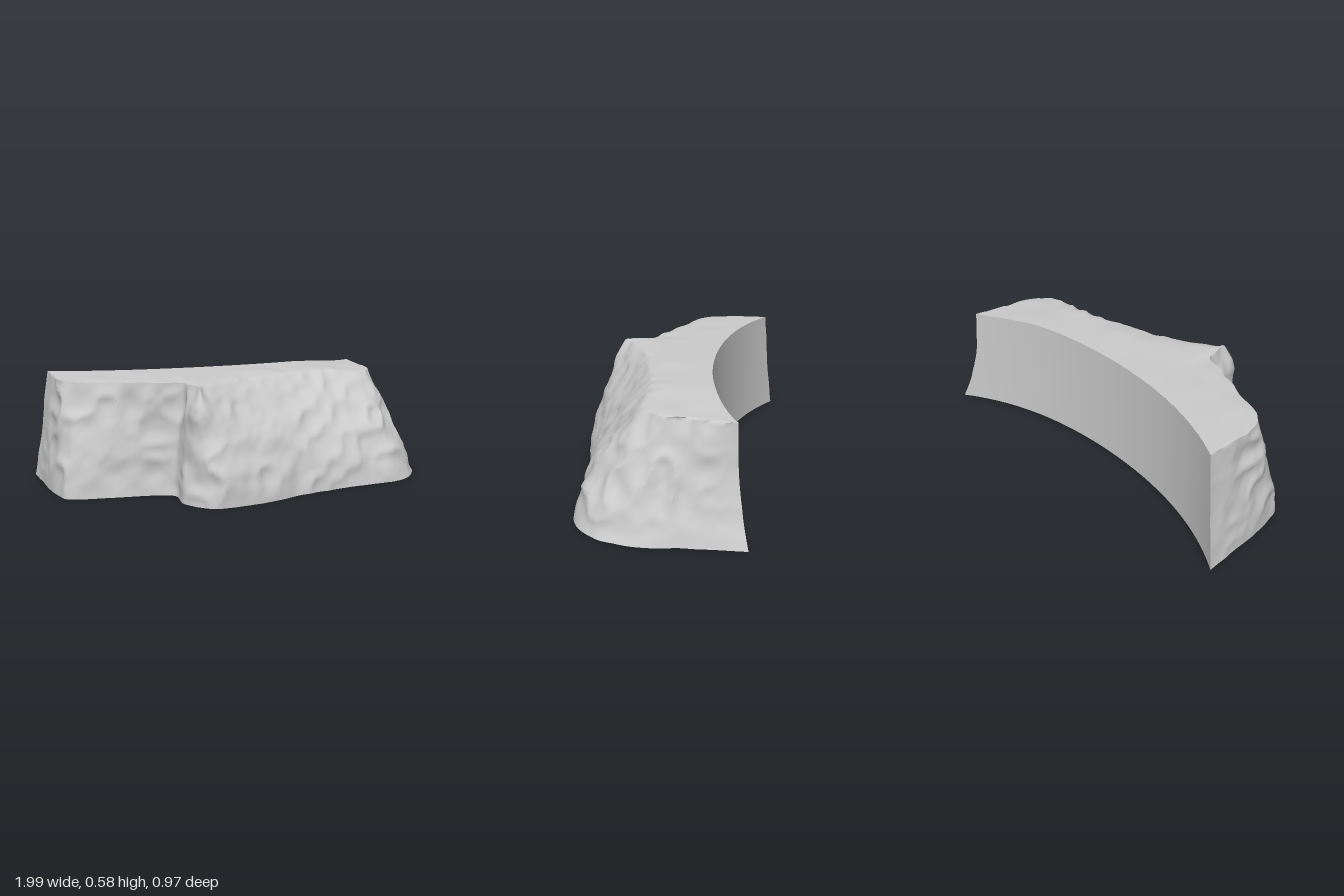
import * as THREE from 'three';
import { toCreasedNormals } from 'three/addons/utils/BufferGeometryUtils.js';

// Outline of the rock from the right back corner round the front to the left one.
// Each row: x, z at the foot, x, z at mid height, x, z at the rim.
const OUTLINE = [
  [-1, -0.46, -0.955, -0.43, -0.92, -0.41],
  [-0.975, -0.2, -0.945, -0.2, -0.9, -0.2],
  [-0.95, 0, -0.925, -0.02, -0.89, -0.08],
  [-0.91, 0.08, -0.87, 0.05, -0.82, -0.02],
  [-0.7, 0.13, -0.68, 0.1, -0.64, 0.05],
  [-0.47, 0.17, -0.46, 0.155, -0.44, 0.15],
  [-0.405, 0.21, -0.38, 0.19, -0.35, 0.18],
  [-0.405, 0.33, -0.375, 0.3, -0.335, 0.24],
  [-0.35, 0.43, -0.335, 0.4, -0.31, 0.33],
  [-0.26, 0.48, -0.25, 0.435, -0.25, 0.26],
  [-0.02, 0.462, -0.03, 0.38, -0.06, 0.16],
  [0.2, 0.405, 0.18, 0.32, 0.15, 0.09],
  [0.4, 0.37, 0.37, 0.275, 0.32, 0.05],
  [0.62, 0.35, 0.57, 0.255, 0.53, 0.025],
  [0.8, 0.33, 0.74, 0.235, 0.71, 0.01],
  [0.9, 0.26, 0.83, 0.16, 0.79, -0.03],
  [0.965, 0.16, 0.88, 0.05, 0.81, -0.09],
  [0.995, 0, 0.9, -0.08, 0.82, -0.18],
  [0.97, -0.2, 0.895, -0.22, 0.825, -0.27],
  [0.95, -0.49, 0.868, -0.42, 0.84, -0.405],
];

const rings = [0, 2, 4].map((k) => new THREE.CatmullRomCurve3(
  OUTLINE.map((r) => new THREE.Vector3(r[k], 0, r[k + 1])), false, 'centripetal'));

// Rim height, dropping a little towards the left end
const rim = (x) => 0.56 - 0.022 * THREE.MathUtils.smoothstep(x, 0.4, 0.82);

// Smooth concave curve of the back
const backZ = (x) => {
  const d = x + 0.05;
  return -0.215 - 0.195 * d * d - 0.075 * d ** 4;
};

// Seeded value noise, -1 to 1
const hash = (x, y, z) => {
  let h = Math.imul(x, 374761393) ^ Math.imul(y, 668265263) ^ Math.imul(z, 1274126177) ^ 9173;
  h = Math.imul(h ^ (h >>> 13), 1274126177);
  return ((h ^ (h >>> 16)) >>> 0) / 2147483648 - 1;
};
function noise(x, y, z) {
  const c = [x, y, z].map(Math.floor);
  const f = [x - c[0], y - c[1], z - c[2]].map((t) => t * t * (3 - 2 * t));
  let sum = 0;
  for (let i = 0; i < 8; i++) {
    const o = [i & 1, (i >> 1) & 1, i >> 2];
    const w = o.reduce((a, b, k) => a * (b ? f[k] : 1 - f[k]), 1);
    sum += w * hash(c[0] + o[0], c[1] + o[1], c[2] + o[2]);
  }
  return sum;
}

// Point on the unweathered wall, s running from foot to rim
function wallBase(u, s) {
  const [b, m, t] = rings.map((r) => r.getPoint(u));
  const y = s * rim(t.x);
  return b.multiplyScalar((1 - s) * (1 - 2 * s))
    .addScaledVector(m, 4 * s * (1 - s))
    .addScaledVector(t, s * (2 * s - 1)).setY(y);
}

// Wall with broad lumps and a few sharp ridges pushed outward
function wall(u, s) {
  const p = wallBase(u, s);
  const a = wallBase(Math.max(u - 0.008, 0), s);
  const b = wallBase(Math.min(u + 0.008, 1), s);
  const out = new THREE.Vector3(a.z - b.z, 0, b.x - a.x).normalize();
  const lump = noise(p.x * 6, p.y * 7, p.z * 6) * 0.012;
  const ridge = (0.25 - Math.abs(noise(p.x * 10 + 5, p.y * 9, p.z * 10))) * 0.026;
  const grain = noise(p.x * 28, p.y * 26, p.z * 28) * 0.003;
  const edge = Math.min(1, 0.3 + 10 * Math.min(u, 1 - u));
  p.addScaledVector(out, (lump + ridge + grain) * edge * Math.min(1, 0.3 + s * 4));
  p.z = u === 0 || u === 1 ? backZ(p.x) : Math.max(p.z, backZ(p.x));
  return p;
}

// Gentle crown of the top above the rim
const crown = (x) => 0.004 + 0.01 * (1 - x * x);

// Top, q running from the front rim to the back curve
function top(u, q) {
  const p = wall(u, 1);
  p.z += (backZ(p.x) - p.z) * q;
  const bump = noise(p.x * 8, 3, p.z * 8) * 0.007 * (1 - q);
  p.y = rim(p.x) + (crown(p.x) + bump) * (1 - (1 - q) ** 6);
  return p;
}

// Grid of points from a rule of u (across) and v (upward)
function surface(nu, nv, rule) {
  const geo = new THREE.PlaneGeometry(1, 1, nu, nv);
  const pos = geo.attributes.position;
  for (let j = 0; j <= nv; j++) {
    for (let i = 0; i <= nu; i++) {
      const p = rule(i / nu, 1 - j / nv);
      pos.setXYZ(j * (nu + 1) + i, p.x, p.y, p.z);
    }
  }
  return toCreasedNormals(geo, 0.8);
}

export function createModel() {
  const group = new THREE.Group();
  group.name = 'rockLedge';
  const material = new THREE.MeshStandardMaterial({ color: 0xcccccc, side: THREE.DoubleSide });
  const add = (name, geometry) => {
    const mesh = new THREE.Mesh(geometry, material);
    mesh.name = name;
    group.add(mesh);
  };

  // Rough front, ends and top in one skin, open underneath
  const split = 0.7;
  add('rockFace', surface(260, 50, (u, v) => (
    v <= split ? wall(u, v / split) : top(u, ((v - split) / (1 - split)) ** 1.6))));

  // Smooth curved back between the two ragged end edges
  add('curvedBack', surface(60, 35, (u, v) => {
    const x = THREE.MathUtils.lerp(wall(1, v).x, wall(0, v).x, u);
    return new THREE.Vector3(x, v * (rim(x) + crown(x)), backZ(x));
  }));

  return group;
}
